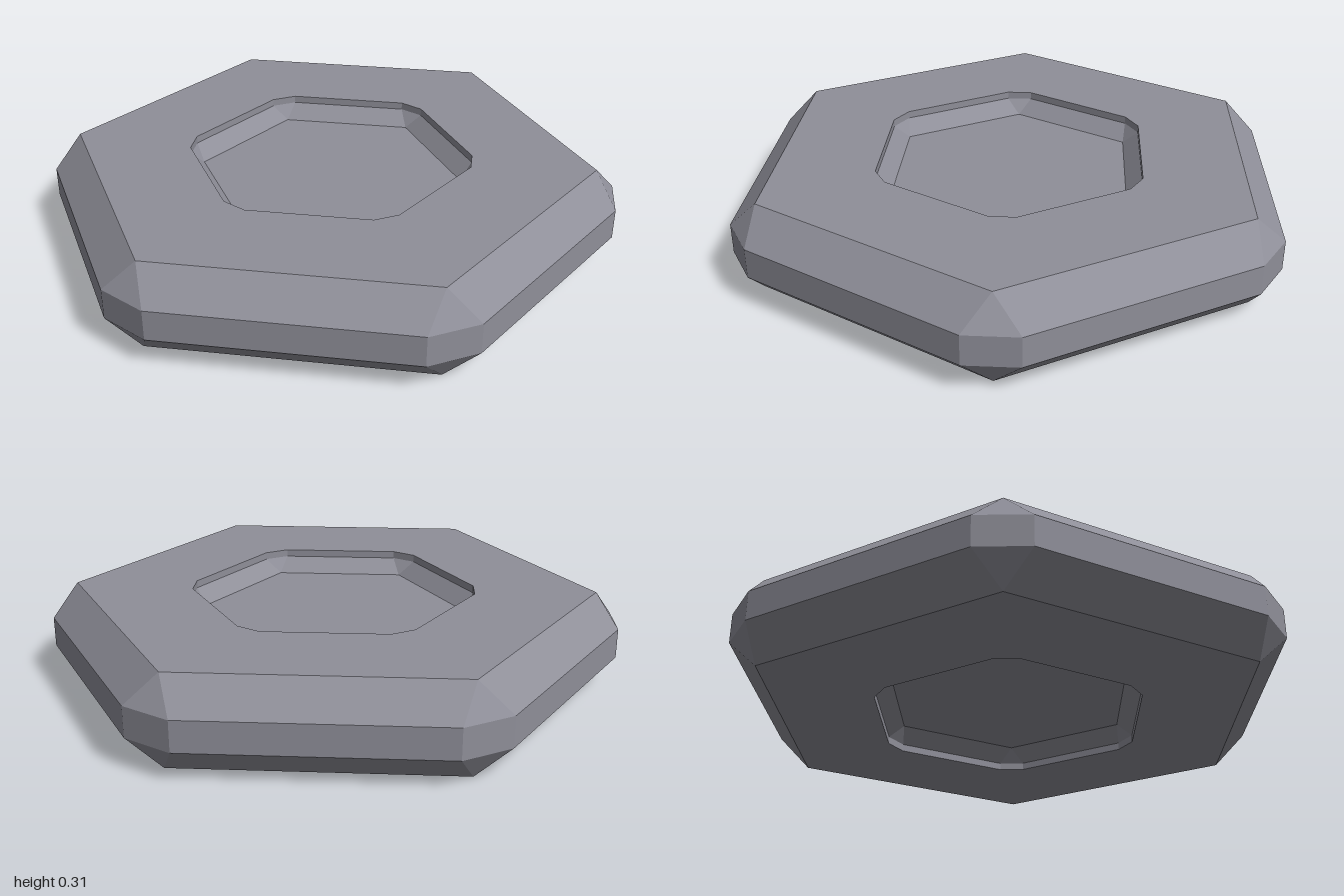
import * as THREE from 'three';

const HEIGHT = 0.315;
const CORNER = Math.atan2(0.09, 1); // half angle of a chamfered corner

// Ring of 12 points: a sharp hexagon (pairs coincide) or one with cut corners
function ring(y, scale, chamfered) {
  const points = [];
  const radius = scale * (chamfered ? 1.004 : 0.93);
  const spread = chamfered ? CORNER : 0;
  for (let i = 0; i < 6; i++) {
    for (const side of [-1, 1]) {
      const a = i * Math.PI / 3 + side * spread;
      points.push(new THREE.Vector3(radius * Math.sin(a), y, radius * Math.cos(a)));
    }
  }
  return points;
}

// Skin successive rings with flat faces, skipping collapsed triangles
function loft(rings) {
  const positions = [];
  const triangle = new THREE.Triangle();
  const add = (a, b, c) => {
    if (triangle.set(a, b, c).getArea() < 1e-7) return;
    for (const p of [a, b, c]) positions.push(p.x, p.y, p.z);
  };
  for (let k = 0; k < rings.length - 1; k++) {
    const lo = rings[k], hi = rings[k + 1];
    for (let i = 0; i < 12; i++) {
      const j = (i + 1) % 12;
      add(lo[i], lo[j], hi[j]);
      add(lo[i], hi[j], hi[i]);
    }
  }
  const geometry = new THREE.BufferGeometry();
  geometry.setAttribute('position', new THREE.Float32BufferAttribute(positions, 3));
  geometry.computeVertexNormals();
  return geometry;
}

export function createModel() {
  const group = new THREE.Group();
  group.name = 'hexagonalPlate';
  const metal = new THREE.MeshStandardMaterial({ color: 0x8f8f99 });
  metal.name = 'grey metal';

  const addPart = (name, rings) => {
    const mesh = new THREE.Mesh(loft(rings), metal);
    mesh.name = name;
    group.add(mesh);
  };

  // Bevelled body with an opening in each broad face
  addPart('body', [
    ring(0, 0.5, true),
    ring(0, 1, false),
    ring(HEIGHT / 3, 1, true),
    ring(HEIGHT * 2 / 3, 1, true),
    ring(HEIGHT, 1, false),
    ring(HEIGHT, 0.5, true),
  ]);

  // Recesses: short upright wall, sloped bevel and hexagonal floor
  const wall = HEIGHT / 12, depth = HEIGHT / 4;
  addPart('topRecess', [
    ring(HEIGHT, 0.5, true),
    ring(HEIGHT - wall, 0.5, true),
    ring(HEIGHT - depth, 0.5, false),
    ring(HEIGHT - depth, 0, false),
  ]);
  addPart('bottomRecess', [
    ring(depth, 0, false),
    ring(depth, 0.5, false),
    ring(wall, 0.5, true),
    ring(0, 0.5, true),
  ]);

  return group;
}
